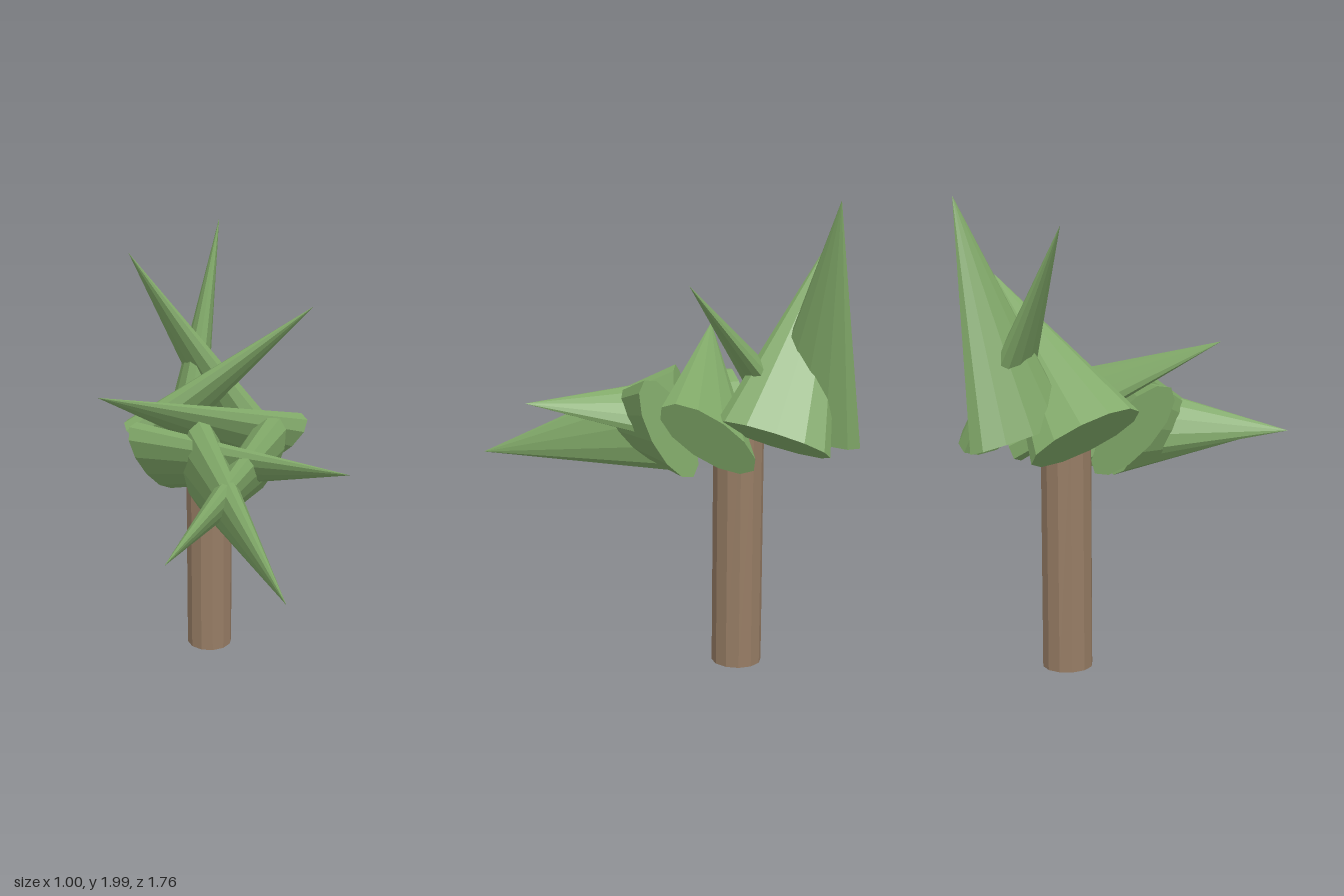
import * as THREE from 'three';

const CENTER_X = 0.022, CENTER_Z = -0.357;
const TRUNK_RADIUS = 0.108, TRUNK_HEIGHT = 1.1;
const FROND_COUNT = 7, FROND_LENGTH = 0.984, FROND_RADIUS = 0.24;
const RING_RADIUS = 0.3, RING_HEIGHT = 1.04;

export function createModel() {
  const model = new THREE.Group();
  model.name = 'palmTree';

  const bark = new THREE.MeshStandardMaterial({ color: 0x967c64, flatShading: true });
  bark.name = 'bark brown';
  const leaf = new THREE.MeshStandardMaterial({ color: 0x80a868, flatShading: true });
  leaf.name = 'leaf green';

  // Straight trunk
  const trunk = new THREE.Mesh(
    new THREE.CylinderGeometry(TRUNK_RADIUS, TRUNK_RADIUS, TRUNK_HEIGHT, 12), bark);
  trunk.name = 'trunk';
  trunk.position.set(CENTER_X, TRUNK_HEIGHT / 2, CENTER_Z);
  model.add(trunk);

  // Flattened cone with its base at the origin
  const frondGeometry = new THREE.ConeGeometry(FROND_RADIUS, FROND_LENGTH, 12);
  frondGeometry.translate(0, FROND_LENGTH / 2, 0);
  frondGeometry.scale(1, 1, 0.4);

  // Ring of fronds, leaning across the crown and all tipped forward
  const crown = new THREE.Group();
  crown.name = 'crown';
  crown.position.set(CENTER_X, RING_HEIGHT, CENTER_Z);
  for (let i = 0; i < FROND_COUNT; i++) {
    const angle = (i / FROND_COUNT) * Math.PI * 2;
    const frond = new THREE.Mesh(frondGeometry, leaf);
    frond.name = `frond${i + 1}`;
    frond.position.set(Math.cos(angle) * RING_RADIUS, 0, Math.sin(angle) * RING_RADIUS);
    frond.rotation.set(0.8, angle, 1);
    crown.add(frond);
  }
  model.add(crown);

  return model;
}
